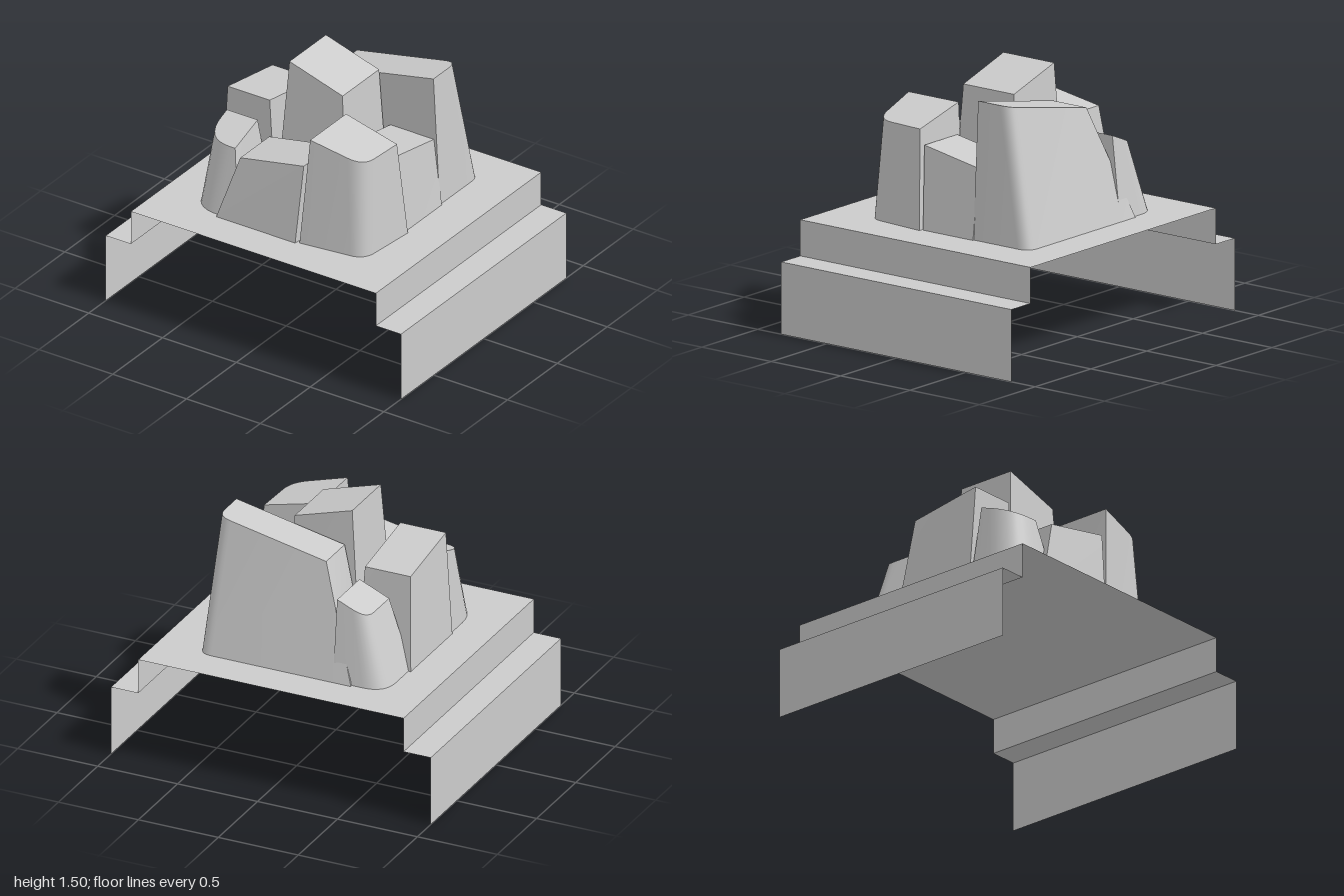
import * as THREE from 'three';
import { toCreasedNormals } from 'three/addons/utils/BufferGeometryUtils.js';

const DECK = 0.63;
const STEPS = 8;
const BACK_RIGHT = 0, FRONT_RIGHT = 1, FRONT_LEFT = 2, BACK_LEFT = 3;

const sheetMaterial = new THREE.MeshStandardMaterial({ color: 0xcccccc, side: THREE.DoubleSide });
const blockMaterial = new THREE.MeshStandardMaterial({ color: 0xcccccc });

// Rectangle outline with shifted corners and one optional curved corner
function outline([x0, z0, x1, z1], shift = {}, rounded, radius) {
  const corners = [[x0, z0], [x0, z1], [x1, z1], [x1, z0]].map(([x, z], i) => {
    const [dx, dz] = shift[i] ?? [0, 0];
    return new THREE.Vector2(x + dx, z + dz);
  });
  return corners.flatMap((c, i) => {
    if (i !== rounded) return [c];
    const toward = (j) => corners[j % 4].clone().sub(c).setLength(radius).add(c);
    return new THREE.QuadraticBezierCurve(toward(i + 3), c, toward(i + 1)).getPoints(STEPS);
  });
}

function geometryFrom(positions) {
  const geo = new THREE.BufferGeometry();
  geo.setAttribute('position', new THREE.Float32BufferAttribute(positions, 3));
  return geo;
}

// Tapered block with a slanted top plane: y = height + slopeX * x + slopeZ * z
function block(name, base, top, height, { slopeX = 0, slopeZ = 0, rounded, rBase, rTop, shiftBase, shiftTop }) {
  const lo = outline(base, shiftBase, rounded, rBase).map(p => [p.x, DECK, p.y]);
  const hi = outline(top, shiftTop, rounded, rTop)
    .map(p => [p.x, height + slopeX * p.x + slopeZ * p.y, p.y]);
  const pos = [];
  const n = lo.length;
  for (let i = 0; i < n; i++) {
    const j = (i + 1) % n;
    pos.push(...lo[i], ...lo[j], ...hi[j], ...lo[i], ...hi[j], ...hi[i]);
    if (i > 0 && j > 0) {
      pos.push(...hi[0], ...hi[i], ...hi[j], ...lo[0], ...lo[j], ...lo[i]);
    }
  }
  const mesh = new THREE.Mesh(toCreasedNormals(geometryFrom(pos), 0.5), blockMaterial);
  mesh.name = name;
  return mesh;
}

// Thin folded sheet: half a stepped section, mirrored and swept along z
function steppedBase() {
  const half = [[1, 0], [1, 0.42], [0.83, 0.42], [0.83, DECK]];
  const section = [...half.map(([x, y]) => [-x, y]), ...half.reverse()];
  const pos = [];
  for (let i = 0; i < section.length - 1; i++) {
    const [a0, a1] = [-0.83, 0.83].map(z => [...section[i], z]);
    const [b0, b1] = [-0.83, 0.83].map(z => [...section[i + 1], z]);
    pos.push(...a0, ...a1, ...b1, ...a0, ...b1, ...b0);
  }
  const geo = geometryFrom(pos);
  geo.computeVertexNormals();
  const mesh = new THREE.Mesh(geo, sheetMaterial);
  mesh.name = 'steppedBase';
  return mesh;
}

export function createModel() {
  const group = new THREE.Group();
  group.add(steppedBase());

  // Blocks: base and top rectangles as [minX, minZ, maxX, maxZ]
  group.add(block('centreBlock', [-0.25, -0.21, 0.21, 0.23], [-0.19, -0.18, 0.17, 0.185], 1.442,
    { slopeX: -0.305 }));

  // Middle block of each side
  group.add(block('frontBlock', [-0.4, 0.24, 0.135, 0.61], [-0.27, 0.27, 0.16, 0.56], 1.08,
    { slopeX: 0.19, shiftBase: { [BACK_RIGHT]: [0.1, 0], [BACK_LEFT]: [0.035, 0] } }));
  group.add(block('leftBlock', [0.2, -0.21, 0.575, 0.15], [0.23, -0.21, 0.525, 0.18], 1.077,
    { slopeZ: 0.18 }));
  group.add(block('rightBlock', [-0.61, -0.29, -0.25, 0.24], [-0.565, -0.2, -0.28, 0.25], 1.21,
    { slopeZ: 0.165, shiftBase: { [BACK_LEFT]: [0, 0.05] } }));

  // Corner blocks, each rounded at its outer corner
  group.add(block('frontLeftCornerBlock', [0.155, 0.16, 0.595, 0.595], [0.2, 0.195, 0.545, 0.555], 1.34, {
    slopeX: -0.25, rounded: FRONT_LEFT, rBase: 0.09, rTop: 0.1,
    shiftBase: { [BACK_RIGHT]: [0.045, 0], [FRONT_LEFT]: [-0.035, -0.05] },
    shiftTop: { [FRONT_LEFT]: [-0.015, -0.045] },
  }));
  group.add(block('backLeftCornerBlock', [-0.39, -0.605, 0.565, -0.205], [-0.155, -0.44, 0.522, -0.205], 1.322, {
    slopeX: 0.205, rounded: BACK_LEFT, rBase: 0.08, rTop: 0.08,
    shiftBase: { [FRONT_RIGHT]: [0.1, 0] },
  }));
  group.add(block('frontRightCornerBlock', [-0.6, 0.24, -0.27, 0.585], [-0.55, 0.28, -0.342, 0.505], 1.215,
    { slopeZ: -0.345, rounded: FRONT_RIGHT, rBase: 0.2, rTop: 0.17 }));
  group.add(block('backRightCornerBlock', [-0.595, -0.59, -0.27, -0.25], [-0.455, -0.535, -0.27, -0.25], 1.235,
    { slopeX: 0.43, rounded: BACK_RIGHT, rBase: 0.14, rTop: 0.09 }));

  return group;
}
